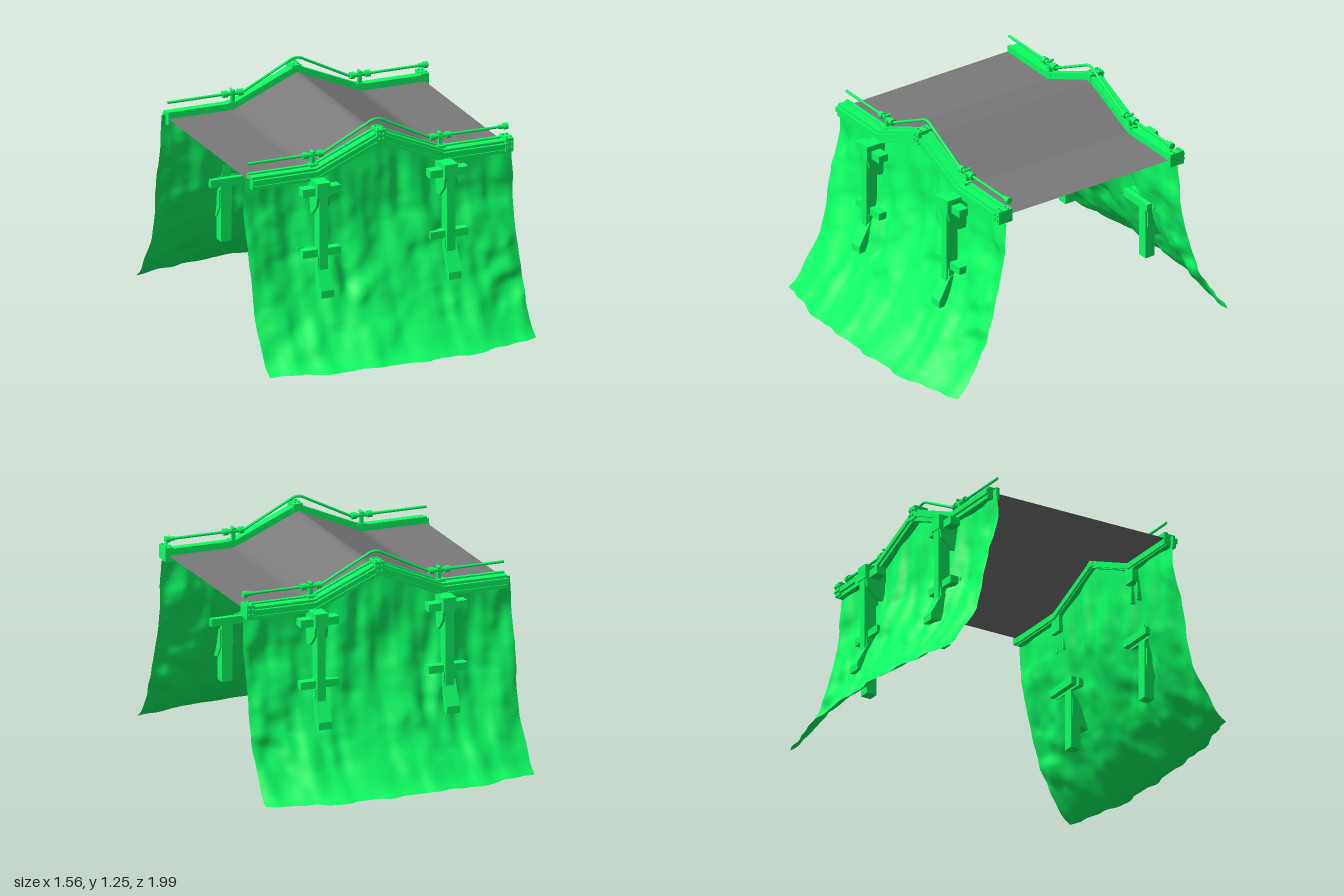
import * as THREE from 'three';

const green = new THREE.MeshStandardMaterial({ color: 0x0cff64, side: THREE.DoubleSide });
const grey = new THREE.MeshStandardMaterial({ color: 0x7a7a7a, side: THREE.DoubleSide });

const BEND = 0.37, RISE = 0.16, DECK = 1.0;
// Height of the deck line: flat ends with a ridge in the middle
const ridge = (x) => DECK + RISE * Math.max(0, 1 - Math.abs(x) / BEND);

function add(parent, name, geometry, x = 0, y = 0, z = 0, material = green) {
  const mesh = new THREE.Mesh(geometry, material);
  mesh.name = name;
  mesh.position.set(x, y, z);
  parent.add(mesh);
  return mesh;
}

// Box given by its limits
function block(parent, name, x0, x1, y0, y1, z0, z1) {
  return add(parent, name, new THREE.BoxGeometry(x1 - x0, y1 - y0, z1 - z0),
    (x0 + x1) / 2, (y0 + y1) / 2, (z0 + z1) / 2);
}

// Cylinder lying along x, y or z
function rod(parent, name, axis, r, length, x, y, z, sides = 12) {
  const g = new THREE.CylinderGeometry(r, r, length, sides);
  if (axis === 'x') g.rotateZ(Math.PI / 2);
  if (axis === 'z') g.rotateX(Math.PI / 2);
  return add(parent, name, g, x, y, z);
}

// Side outline in (z, y), extruded across x
function sidePlate(parent, name, points, x, width) {
  const shape = new THREE.Shape(points.map(([z, y]) => new THREE.Vector2(-z, y)));
  const g = new THREE.ExtrudeGeometry(shape, { depth: width, bevelEnabled: false });
  g.rotateY(Math.PI / 2).translate(x - width / 2, 0, 0);
  return add(parent, name, g);
}

// Band following the ridge line, y limits relative to it
function ribbon(parent, name, y0, y1, z0, z1) {
  const xs = [-0.745, -BEND, 0, BEND, 0.755];
  const top = xs.map((x) => new THREE.Vector2(x, ridge(x) + y1));
  const bottom = xs.map((x) => new THREE.Vector2(x, ridge(x) + y0));
  const shape = new THREE.Shape([...bottom, ...top.reverse()]);
  const g = new THREE.ExtrudeGeometry(shape, { depth: z1 - z0, bevelEnabled: false });
  return add(parent, name, g, 0, 0, z0);
}

// Smooth repeatable noise in -1..1
function hash(i, j) {
  const s = Math.sin(i * 127.1 + j * 311.7) * 43758.5453;
  return (s - Math.floor(s)) * 2 - 1;
}
function noise(x, y) {
  const i = Math.floor(x), j = Math.floor(y);
  const u = THREE.MathUtils.smootherstep(x - i, 0, 1);
  const v = THREE.MathUtils.smootherstep(y - j, 0, 1);
  const { lerp } = THREE.MathUtils;
  return lerp(lerp(hash(i, j), hash(i + 1, j), u), lerp(hash(i, j + 1), hash(i + 1, j + 1), u), v);
}

// Mean slope of the rock face
const slope = new THREE.SplineCurve([[0, 1.0], [0.05, 0.925], [0.15, 0.835], [0.25, 0.765], [0.4, 0.69],
  [0.5, 0.65], [0.6, 0.615], [0.75, 0.58], [0.9, 0.562], [1.2, 0.55]].map(([y, z]) => new THREE.Vector2(y, z)));
const slopeTable = slope.getPoints(120);
function slopeZ(y) {
  const k = Math.max(1, slopeTable.findIndex((p) => p.x >= y));
  const a = slopeTable[k - 1], b = slopeTable[k];
  return THREE.MathUtils.mapLinear(y, a.x, b.x, a.y, b.y);
}

function rockFace() {
  const g = new THREE.PlaneGeometry(2, 1, 90, 70);
  const p = g.attributes.position;
  for (let i = 0; i < p.count; i++) {
    const u = p.getX(i), t = p.getY(i) + 0.5;
    const x = u * (0.775 + 0.006 * noise(t * 7, u * 3));
    const y = 0.008 + 0.005 * noise(u * 9, 3) * (1 - t) + t * (ridge(x) - 0.015 - 0.025 * u);
    // Upright folds near the top, lumps lower down
    const fade = Math.min(1, t * 6) * Math.min(1, (1 - t) * 5 + 0.15);
    const folds = 0.03 * noise(x * 8 + y * 1.5 + 20, y * 2) + 0.015 * noise(x * 17 + 5, y * 4 + x * 3);
    const lumps = 0.018 * noise(x * 7 + 40 - y * 3, y * 8) + 0.005 * noise(x * 18, y * 18);
    const hem = 0.01 * (1 - t) * noise(x * 11, 7) - 0.11 * Math.pow(1 - t, 1.8) * Math.pow(Math.abs(u), 2.2);
    p.setXYZ(i, x, y, slopeZ(y) + hem + fade * (folds * (0.35 + 0.65 * t) + lumps * (1.2 - t)));
  }
  g.computeVertexNormals();
  return g;
}

// Upright support half sunk in the rock
function support(parent, x) {
  const s = new THREE.Group();
  s.name = 'support';
  s.position.x = x;
  parent.add(s);
  sidePlate(s, 'topBracket', [[0.53, 0.98], [0.685, 0.98], [0.685, 0.9], [0.64, 0.89], [0.53, 0.89]], 0, 0.075);
  for (const side of [-1, 1]) {
    sidePlate(s, 'gusset', [[0.56, 0.9], [0.68, 0.9], [0.67, 0.85], [0.61, 0.79], [0.56, 0.79]], side * 0.031, 0.014);
  }
  block(s, 'post', -0.024, 0.024, 0.49, 0.9, 0.61, 0.68);
  block(s, 'upperCrossbar', -0.11, 0.11, 0.905, 0.948, 0.6, 0.658);
  block(s, 'lowerCrossbar', -0.11, 0.11, 0.56, 0.602, 0.61, 0.658);
  block(s, 'innerCrossbar', -0.11, 0.11, 0.56, 0.602, 0.565, 0.595);
  block(s, 'innerPost', -0.03, 0.03, 0.23, 0.56, 0.61, 0.67);
  sidePlate(s, 'foot', [[0.62, 0.52], [0.665, 0.52], [0.735, 0.39], [0.735, 0.35], [0.66, 0.36], [0.62, 0.42]], 0, 0.075);
}

// Handrail with its posts and couplings
function handrail(parent) {
  const z = 0.53, y = 1.093;
  const v = (a, b) => new THREE.Vector3(a, b, z);
  const path = new THREE.CurvePath();
  path.add(new THREE.LineCurve3(v(-0.745, y), v(-0.31, y)));
  path.add(new THREE.LineCurve3(v(-0.31, y), v(-0.05, 1.225)));
  path.add(new THREE.QuadraticBezierCurve3(v(-0.05, 1.225), v(0, 1.258), v(0.05, 1.225)));
  path.add(new THREE.LineCurve3(v(0.05, 1.225), v(0.31, y)));
  path.add(new THREE.LineCurve3(v(0.31, y), v(0.76, y)));
  add(parent, 'handrail', new THREE.TubeGeometry(path, 160, 0.0075, 10, false));
  for (const side of [-1, 1]) {
    const x = side * BEND;
    block(parent, 'railPost', x - 0.01, x + 0.01, 1.02, 1.112, z - 0.01, z + 0.01);
    block(parent, 'railFoot', x - 0.026, x + 0.026, 1.03, 1.046, z - 0.014, z + 0.03);
    rod(parent, 'railSleeve', 'x', 0.012, 0.11, x, y, z);
    for (const end of [-1, 1]) {
      rod(parent, 'railCoupling', 'x', 0.019, 0.028, x + end * 0.045, y, z);
    }
    rod(parent, 'railPin', 'z', 0.007, 0.045, x, 1.11, z);
  }
  rod(parent, 'railEnd', 'x', 0.018, 0.025, 0.75, y, z);
  rod(parent, 'railEndCollar', 'x', 0.012, 0.05, 0.735, y, z);
}

// Beam along the edge of the deck
function edgeBeam(parent) {
  ribbon(parent, 'beamCurb', -0.03, 0.04, 0.518, 0.54);
  ribbon(parent, 'beamBody', -0.02, 0.032, 0.538, 0.585);
  ribbon(parent, 'beamFace', -0.01, 0.018, 0.58, 0.6);
  ribbon(parent, 'beamLip', -0.036, -0.018, 0.53, 0.592);
  // Bolted plates at the ridge and at one end
  for (const [x, y, w] of [[0, 1.165, 0.052], [0.745, 1.01, 0.045]]) {
    block(parent, 'jointPlate', x - w / 2, x + w / 2, y - 0.038, y + 0.038, 0.515, 0.602);
    for (const a of [-1, 1]) for (const b of [-1, 1]) {
      rod(parent, 'faceBolt', 'z', 0.007, 0.012, x + a * 0.012, y + b * 0.014, 0.606, 8);
      rod(parent, 'topBolt', 'y', 0.007, 0.012, x + a * 0.012, y + 0.04, 0.56 + b * 0.022, 8);
    }
  }
}

export function createModel() {
  const model = new THREE.Group();
  model.name = 'bridge';

  // Thin deck folded along the ridge line
  const deck = new THREE.PlaneGeometry(1.49, 1.04, 48, 1).rotateX(-Math.PI / 2);
  const p = deck.attributes.position;
  for (let i = 0; i < p.count; i++) p.setY(i, ridge(p.getX(i)) + 0.003);
  deck.computeVertexNormals();
  add(model, 'deck', deck, 0, 0, 0, grey);

  // Front and back ends mirror each other
  for (const s of [1, -1]) {
    const end = new THREE.Group();
    end.name = s > 0 ? 'frontEnd' : 'backEnd';
    end.scale.z = s;
    add(end, 'rockFace', rockFace());
    edgeBeam(end);
    handrail(end);
    for (const side of [-1, 1]) support(end, side * BEND);
    model.add(end);
  }
  return model;
}
